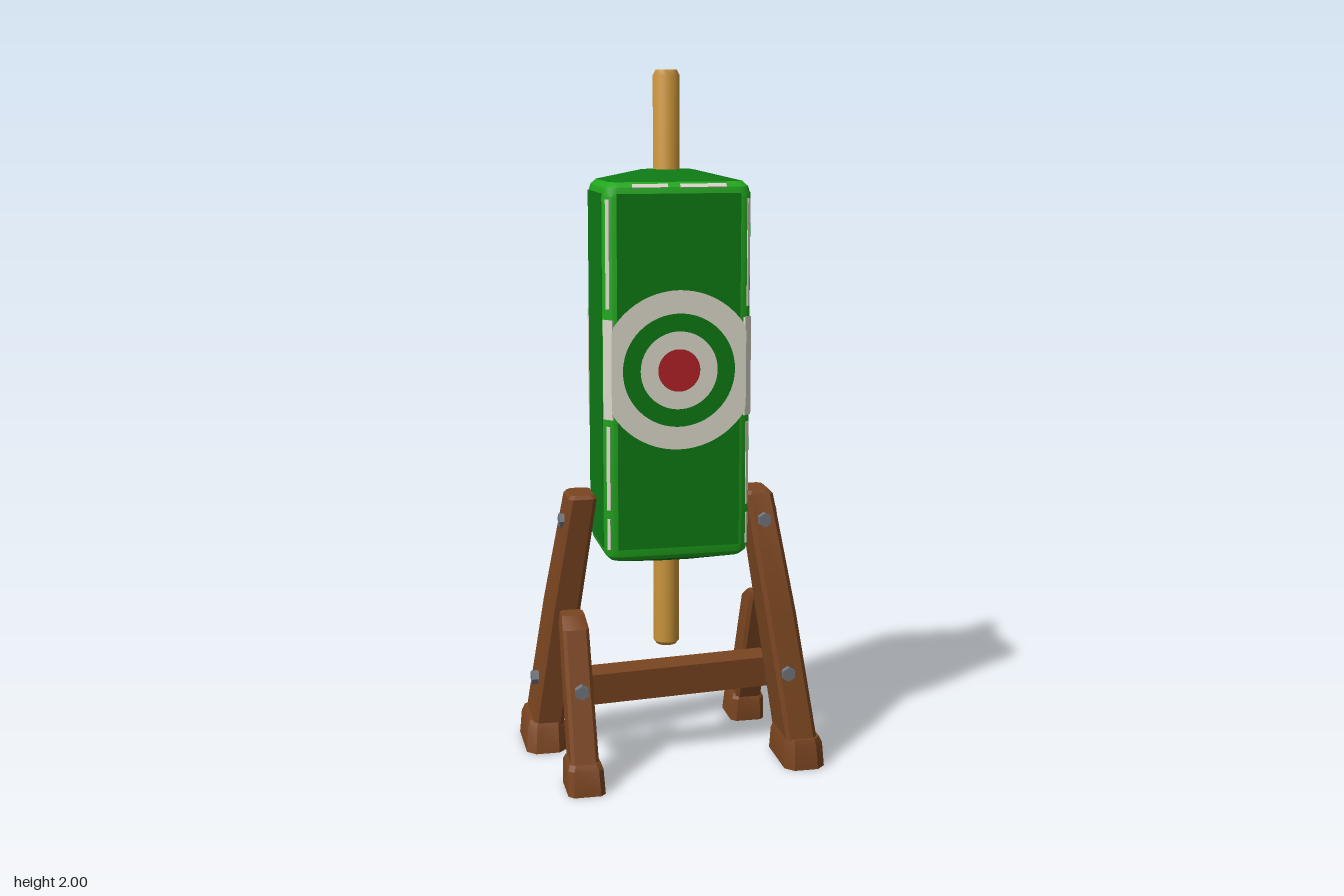
import * as THREE from 'three';
import { toCreasedNormals } from 'three/addons/utils/BufferGeometryUtils.js';

const flat = (name, color) => {
  const m = new THREE.MeshStandardMaterial({ color });
  m.name = name;
  return m;
};

// Loft of rounded rectangles; section = [y, centreX, centreZ, halfX, halfZ, cornerRadius]
// darkRow(i) picks material group 1 for a row of faces (-1 and last are the caps)
function loft(sections, n, darkRow = () => false) {
  const pos = [], idx = [], per = 4 * (n + 1);
  for (const [y, cx, cz, hx, hz, c] of sections) {
    for (let k = 0; k < 4; k++) {
      const sx = k === 0 || k === 3 ? 1 : -1, sz = k < 2 ? 1 : -1;
      for (let s = 0; s <= n; s++) {
        const a = (k + s / n) * Math.PI / 2;
        pos.push(cx + sx * (hx - c) + c * Math.cos(a), y, cz + sz * (hz - c) + c * Math.sin(a));
      }
    }
  }
  const rows = sections.length - 1, g = new THREE.BufferGeometry();
  const addRow = (row, fill) => {
    const start = idx.length;
    for (let j = 0; j < per; j++) fill(j, (j + 1) % per);
    g.addGroup(start, idx.length - start, darkRow(row) ? 1 : 0);
  };
  const cap = (i) => {
    const [y, cx, cz] = sections[i];
    pos.push(cx, y, cz);
    return pos.length / 3 - 1;
  };
  const bottom = cap(0), top = cap(rows);
  addRow(-1, (j, k) => idx.push(bottom, j, k));
  for (let i = 0; i < rows; i++) {
    const a = i * per, b = a + per;
    addRow(i, (j, k) => idx.push(a + j, b + j, b + k, a + j, b + k, a + k));
  }
  addRow(rows, (j, k) => idx.push(top, rows * per + k, rows * per + j));
  g.setAttribute('position', new THREE.Float32BufferAttribute(pos, 3));
  g.setIndex(idx);
  return toCreasedNormals(g, 0.5);
}

export function createModel() {
  const green = flat('dark green paint', 0x0e7a14);
  const lime = flat('bright green edge', 0x22a81e);
  const cream = flat('white paint', 0xdcdacb);
  const red = flat('red paint', 0xb42226);
  const brown = flat('brown wood', 0x7a4520);
  const tan = flat('pale wood', 0xc8933a);
  const steel = flat('grey metal', 0x70757d);

  const model = new THREE.Group();
  const add = (parent, name, geometry, material, x = 0, y = 0, z = 0) => {
    const m = new THREE.Mesh(geometry, material);
    m.name = name;
    m.position.set(x, y, z);
    parent.add(m);
    return m;
  };

  // Padded block with softly domed ends
  add(model, 'targetBlock', loft([
    [0.60, 0, 0, 0.07, 0.05, 0.02],
    [0.628, 0, 0, 0.19, 0.13, 0.03],
    [0.642, 0, 0, 0.204, 0.144, 0.034],
    [0.668, 0, 0, 0.21, 0.15, 0.035],
    [1.658, 0, 0, 0.21, 0.15, 0.035],
    [1.682, 0, 0, 0.204, 0.144, 0.034],
    [1.696, 0, 0, 0.19, 0.13, 0.03],
    [1.725, 0, 0, 0.07, 0.05, 0.02],
  ], 4, (r) => r < 1 || r > 5), [lime, green]);

  // Pole through the block
  const poleProfile = [[0, 0.325], [0.03, 0.325], [0.038, 0.335], [0.038, 1.985], [0.03, 2], [0, 2]];
  add(model, 'pole', toCreasedNormals(new THREE.LatheGeometry(
    poleProfile.map(([r, y]) => new THREE.Vector2(r, y)), 20), 0.6), tan, 0, 0, -0.025);

  // Crossbar between the legs, slightly skewed
  add(model, 'crossbar', new THREE.BoxGeometry(0.62, 0.09, 0.09), brown, 0, 0.225, 0)
    .rotation.y = 0.1;

  // Painted ring, trimmed where it meets the block edges
  const ring = (outer, inner) => {
    const pts = [];
    for (let i = 0; i < 64; i++) {
      const a = i / 64 * Math.PI * 2;
      pts.push(new THREE.Vector2(THREE.MathUtils.clamp(outer * Math.cos(a), -0.192, 0.192), outer * Math.sin(a)));
    }
    const s = new THREE.Shape(pts);
    if (inner) s.holes.push(new THREE.Path().absarc(0, 0, inner, 0, Math.PI * 2, true));
    return new THREE.ShapeGeometry(s, 32);
  };

  // One half of everything that repeats, turned 180 degrees for the other half
  for (let side = 0; side < 2; side++) {
    const half = new THREE.Group();
    half.name = side ? 'backHalf' : 'frontHalf';
    half.rotation.y = side * Math.PI;
    model.add(half);

    // Painted panels and target
    add(half, 'facePanel', new THREE.BoxGeometry(0.35, 1.0, 0.004), green, 0, 1.165, 0.15);
    add(half, 'sidePanel', new THREE.BoxGeometry(0.004, 1.0, 0.22), green, 0.21, 1.165, 0);
    add(half, 'outerRing', ring(0.225, 0.16), cream, 0, 1.175, 0.1535);
    add(half, 'innerRing', ring(0.11, 0.06), cream, 0, 1.175, 0.1535);
    add(half, 'bullseye', new THREE.CircleGeometry(0.06, 32), red, 0, 1.175, 0.1535);

    // Worn paint along the block edges: [centre y, length, width]
    for (const s of [1, -1]) {
      for (const [y, len, w] of [[1.18, 0.28, 0.032], [1.5, 0.3, 0.012], [0.9, 0.24, 0.012], [0.71, 0.09, 0.01]]) {
        add(half, 'edgeWear', new THREE.BoxGeometry(w, len, 0.006), cream, s * 0.1985, y, 0.1385)
          .rotation.y = s * Math.PI / 4;
      }
    }
    for (const [x, len] of [[-0.08, 0.1], [0.07, 0.13]]) {
      add(half, 'topEdgeWear', new THREE.BoxGeometry(len, 0.012, 0.006), cream, x, 1.685, 0.141)
        .rotation.x = -0.7;
    }

    // Main leg and its foot
    add(half, 'mainLeg', loft([
      [0.03, 0.358, 0.155, 0.046, 0.09, 0.012],
      [0.45, 0.305, 0.082, 0.045, 0.078, 0.012],
      [0.79, 0.257, 0.02, 0.041, 0.062, 0.012],
      [0.80, 0.256, 0.02, 0.033, 0.054, 0.012],
    ], 1), brown);
    add(half, 'mainFoot', loft([
      [0, 0.36, 0.14, 0.06, 0.11, 0.025],
      [0.07, 0.357, 0.147, 0.057, 0.1, 0.025],
      [0.09, 0.355, 0.15, 0.05, 0.09, 0.02],
    ], 1), brown).rotation.y = 0;

    // Rear brace and its foot
    add(half, 'brace', loft([
      [0.03, 0.295, -0.245, 0.04, 0.055, 0.01],
      [0.43, 0.295, -0.08, 0.038, 0.05, 0.01],
      [0.46, 0.295, -0.055, 0.033, 0.03, 0.01],
    ], 1), brown);
    add(half, 'braceFoot', loft([
      [0, 0.294, -0.24, 0.053, 0.07, 0.015],
      [0.07, 0.295, -0.232, 0.05, 0.065, 0.015],
      [0.085, 0.295, -0.23, 0.044, 0.056, 0.015],
    ], 1), brown);

    // Bolts: position and the axis they stick out along
    for (const [x, y, z, axis] of [
      [0.305, 0.72, 0.01, 'x'], [0.382, 0.22, 0.09, 'x'],
      [0.265, 0.72, 0.096, 'z'], [0.315, 0.28, 0.192, 'z'], [0.292, 0.27, -0.196, 'z'],
    ]) {
      const bolt = add(half, 'bolt', toCreasedNormals(new THREE.CylinderGeometry(0.021, 0.021, 0.034, 6), 0.5), steel, x, y, z);
      bolt.rotation[axis === 'x' ? 'z' : 'x'] = Math.PI / 2;
    }
  }
  return model;
}
